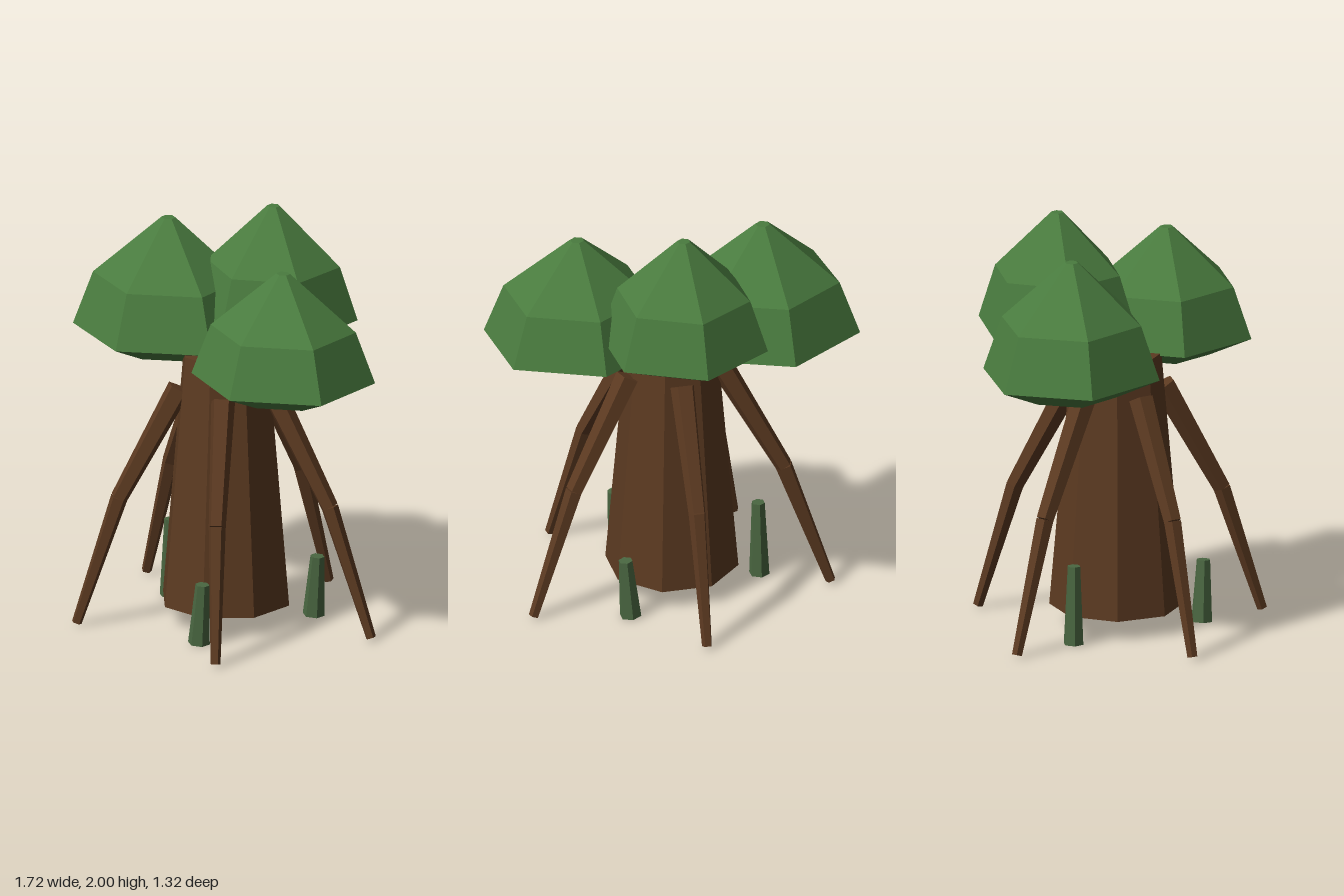
import * as THREE from 'three';

function material(name, color) {
  const m = new THREE.MeshStandardMaterial({ color, flatShading: true });
  m.name = name;
  return m;
}

// Tapered low-poly limb running from point a to point b
function limb(name, a, b, ra, rb, sides, mat) {
  const dir = b.clone().sub(a);
  const geo = new THREE.CylinderGeometry(rb, ra, dir.length(), sides);
  const mesh = new THREE.Mesh(geo, mat);
  mesh.name = name;
  mesh.position.copy(a).add(b).multiplyScalar(0.5);
  mesh.quaternion.setFromUnitVectors(new THREE.Vector3(0, 1, 0), dir.normalize());
  return mesh;
}

export function createModel() {
  const model = new THREE.Group();
  model.name = 'stiltRootTree';
  const bark = material('bark', 0x5c3a21);
  const leaf = material('leaf', 0x4a7c3f);
  const shoot = material('shoot', 0x4a6741);
  const V = (x, y, z) => new THREE.Vector3(x, y, z);
  const centreZ = 0.07;

  // Trunk, raised off the ground on its roots
  const trunk = new THREE.Mesh(new THREE.CylinderGeometry(0.214, 0.32, 1.24, 8).rotateY(Math.PI / 8), bark);
  trunk.name = 'trunk';
  trunk.position.set(0, 0.72, centreZ);
  model.add(trunk);

  // Five stilt roots, each bent at a knee
  for (let i = 0; i < 5; i++) {
    const angle = -Math.PI / 2 + i * Math.PI * 2 / 5;
    const at = (rx, rz, y) => V(0.005 + rx * Math.cos(angle), y, centreZ - 0.005 + rz * Math.sin(angle));
    const root = new THREE.Group();
    root.name = 'root' + (i + 1);
    const knee = at(0.54, 0.515, 0.635);
    root.add(
      limb('upperRoot', knee, at(0.24, 0.23, 1.17), 0.043, 0.06, 5, bark),
      limb('lowerRoot', at(0.765, 0.705, 0.015), knee, 0.025, 0.043, 5, bark)
    );
    model.add(root);
  }

  // Hexagonal leaf crowns: centre, rim height, apex height, radii, turn
  const crowns = [
    { name: 'leftCrown', x: 0.445, z: 0.15, rim: 1.33, top: 1.855, rx: 0.455, rz: 0.42, turn: 5 },
    { name: 'rightCrown', x: -0.43, z: 0.01, rim: 1.345, top: 1.9, rx: 0.474, rz: 0.432, turn: 6.7 },
    { name: 'backCrown', x: 0.02, z: -0.24, rim: 1.45, top: 2.0, rx: 0.413, rz: 0.395, turn: 3 },
  ];
  for (const c of crowns) {
    const h = c.top - c.rim;
    const profile = [[0, -0.18], [0.5, -0.18], [1, 0], [0.79, 0.475], [0.075, 1], [0, 1]]
      .map(([r, y]) => new THREE.Vector2(r, y * h));
    const geo = new THREE.LatheGeometry(profile, 6).rotateY(THREE.MathUtils.degToRad(c.turn)).scale(c.rx, 1, c.rz);
    const crown = new THREE.Mesh(geo, leaf);
    crown.name = c.name;
    crown.position.set(c.x, c.rim, c.z);
    model.add(crown);
  }

  // Young shoots standing around the trunk
  model.add(
    limb('frontShoot', V(0.167, 0.006, 0.44), V(0.19, 0.305, 0.44), 0.053, 0.034, 6, shoot),
    limb('backShoot', V(0.28, 0.006, -0.24), V(0.305, 0.305, -0.24), 0.053, 0.034, 6, shoot),
    limb('sideShoot', V(-0.415, 0.006, 0.015), V(-0.41, 0.39, 0.015), 0.05, 0.032, 6, shoot)
  );
  return model;
}
